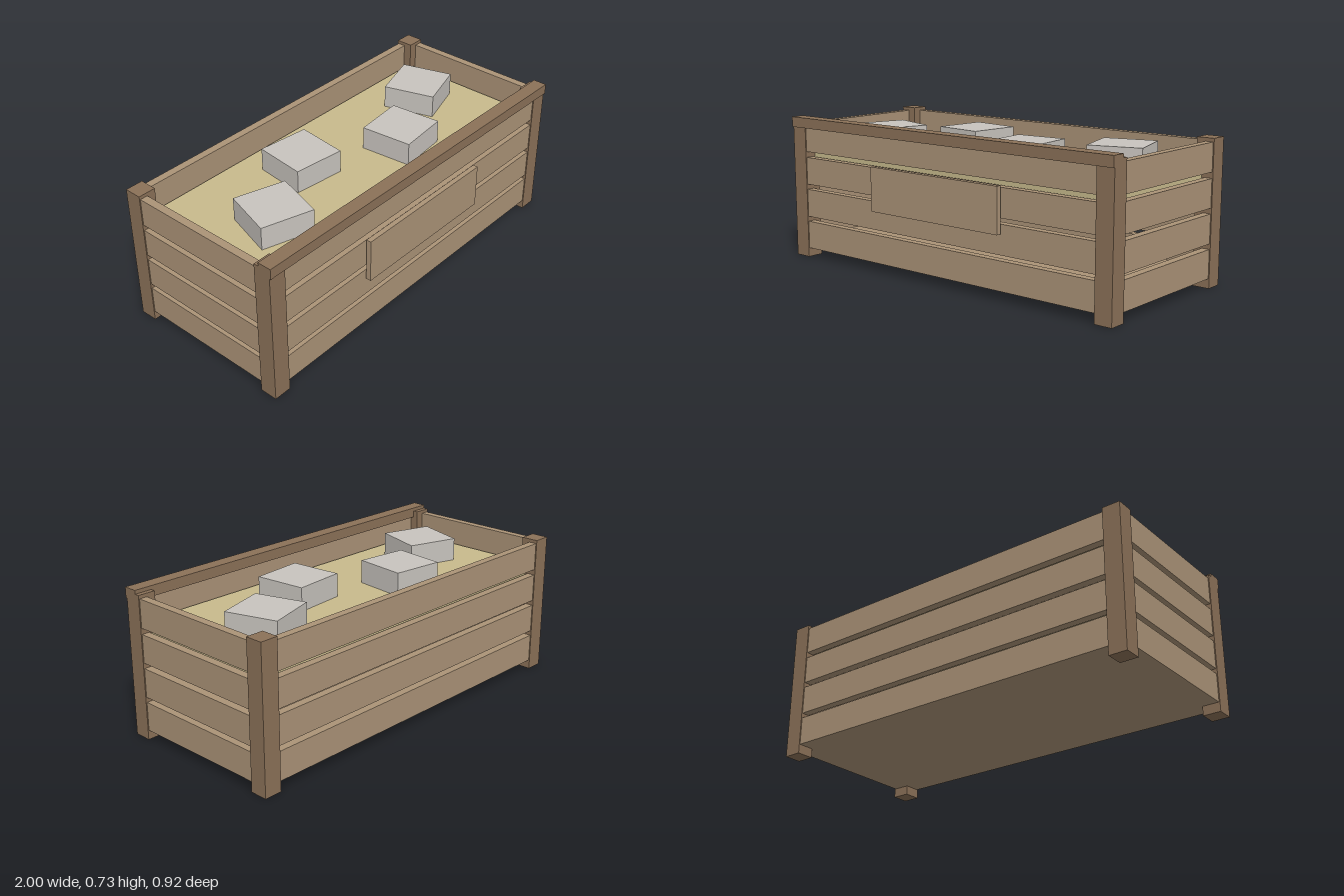
import * as THREE from 'three';

function material(name, color) {
  const m = new THREE.MeshStandardMaterial({ color });
  m.name = name;
  return m;
}

export function createModel() {
  const group = new THREE.Group();
  const darkWood = material('dark wood', 0x8b7158);
  const lightWood = material('light wood', 0xab9377);
  const straw = material('straw', 0xc8ba8c);
  const stone = material('pale stone', 0xc8c4be);

  // Box given by its minimum and maximum on each axis
  function box(name, mat, [x0, x1], [y0, y1], [z0, z1]) {
    const mesh = new THREE.Mesh(new THREE.BoxGeometry(x1 - x0, y1 - y0, z1 - z0), mat);
    mesh.position.set((x0 + x1) / 2, (y0 + y1) / 2, (z0 + z1) / 2);
    mesh.name = name;
    group.add(mesh);
    return mesh;
  }

  // Corner posts
  for (const [x0, x1] of [[-1, -0.91], [0.91, 1]]) {
    for (const [z0, z1] of [[0.342, 0.43], [-0.46, -0.372]]) {
      box('cornerPost', darkWood, [x0, x1], [0, 0.712], [z0, z1]);
    }
  }

  // Four rows of slats on every side
  for (const y of [[0.047, 0.189], [0.215, 0.358], [0.385, 0.525], [0.555, 0.695]]) {
    box('frontSlat', lightWood, [-0.955, 0.955], y, [0.385, 0.425]);
    box('backSlat', lightWood, [-0.955, 0.955], y, [-0.455, -0.415]);
    box('rightSlat', lightWood, [-0.995, -0.955], y, [-0.42, 0.39]);
    box('leftSlat', lightWood, [0.955, 0.995], y, [-0.42, 0.39]);
  }

  // Floor, filling and front fittings
  box('floor', lightWood, [-0.957, 0.957], [0.047, 0.09], [-0.417, 0.387]);
  box('filling', straw, [-0.94, 0.94], [0.5, 0.572], [-0.4, 0.37]);
  box('topRail', darkWood, [-1, 1], [0.678, 0.73], [0.367, 0.438]);
  box('frontPanel', lightWood, [-0.4, 0.4], [0.314, 0.535], [0.434, 0.46]);

  // Square blocks resting in the filling: x, z, turn
  const blocks = [[-0.625, 0.085, -0.3], [-0.225, -0.125, -0.11], [0.265, 0.085, 0.1], [0.665, -0.125, 0.3]];
  for (const [x, z, turn] of blocks) {
    const block = box('block', stone, [x - 0.132, x + 0.132], [0.545, 0.688], [z - 0.132, z + 0.132]);
    block.rotation.y = turn;
  }
  return group;
}
